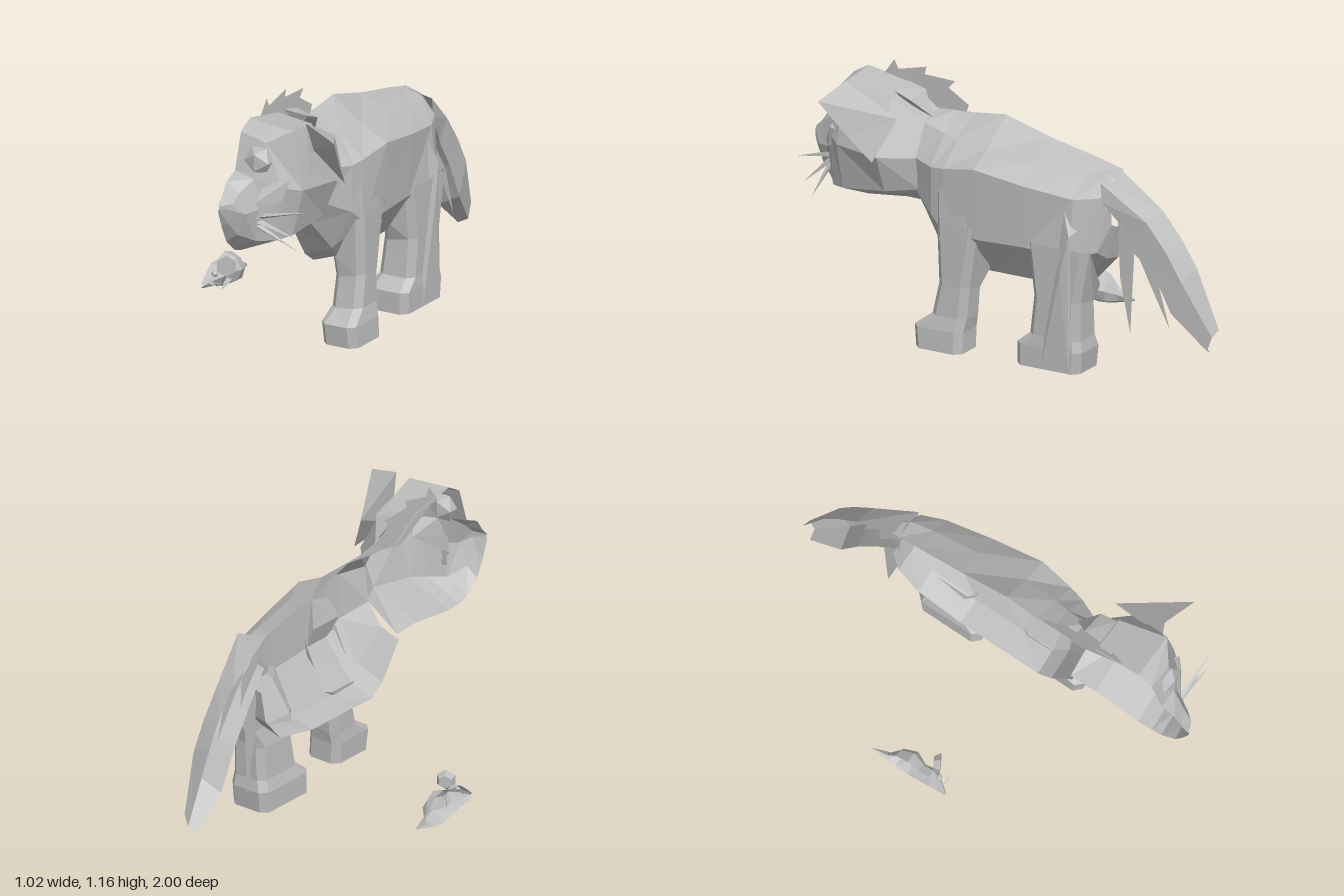
import * as THREE from 'three';
import { ConvexGeometry } from 'three/addons/geometries/ConvexGeometry.js';

const grey = new THREE.MeshStandardMaterial({ color: 0xbcbcbc, flatShading: true, side: THREE.DoubleSide });
grey.name = 'plain grey';

const V = (p) => new THREE.Vector3(...p);

// Skins a list of equal-length point rings; closed joins the ends, cap covers the first ring.
function loft(rings, closed = false, cap = false) {
  const n = rings[0].length, pos = [];
  const tri = (a, b, c) => pos.push(...a, ...b, ...c);
  for (let i = 0; i + 1 < rings.length; i++) {
    const A = rings[i], B = rings[i + 1];
    for (let j = 0; j < (closed ? n : n - 1); j++) {
      const k = (j + 1) % n;
      tri(A[j], A[k], B[j]);
      tri(A[k], B[k], B[j]);
    }
  }
  if (cap) for (let j = 1; j + 1 < n; j++) tri(rings[0][0], rings[0][j + 1], rings[0][j]);
  const g = new THREE.BufferGeometry();
  g.setAttribute('position', new THREE.Float32BufferAttribute(pos, 3));
  g.computeVertexNormals();
  return g;
}

// Half shell open at x = cut; row: z, top y, side points (x, y)..., bottom y.
const shell = (cut, rows) => loft(rows.map(([z, top, ...rest]) => {
  const ring = [[cut, top, z]];
  for (let i = 0; i + 1 < rest.length; i += 2) ring.push([rest[i], rest[i + 1], z]);
  return [...ring, [cut, rest[rest.length - 1], z]];
}));

// Chamfered leg, open at the top; row: y inside, y outside, x min, x max, z min, z max.
const leg = (rows) => loft(rows.map(([yi, yo, x0, x1, z0, z1]) => {
  const c = 0.03;
  return [[x0 + c, yi, z0], [x0, yi, z0 + c], [x0, yi, z1 - c], [x0 + c, yi, z1],
    [x1 - c, yo, z1], [x1, yo, z1 - c], [x1, yo, z0 + c], [x1 - c, yo, z0]];
}), true, true);

// Flat sheet standing in the z-y plane.
function sheet(x, pts) {
  const g = new THREE.ShapeGeometry(new THREE.Shape(pts.map((p) => new THREE.Vector2(...p))));
  return g.rotateY(-Math.PI / 2).translate(x, 0, 0);
}

// Thin spike between two points.
function spike(from, to, r) {
  const a = V(from), d = V(to).sub(a);
  const g = new THREE.ConeGeometry(r, d.length(), 3).translate(0, d.length() / 2, 0);
  g.applyQuaternion(new THREE.Quaternion().setFromUnitVectors(V([0, 1, 0]), d.normalize()));
  return g.translate(a.x, a.y, a.z);
}

const hull = (pts) => new ConvexGeometry(pts.map(V));

export function createModel() {
  const model = new THREE.Group();
  const cat = new THREE.Group(), mouse = new THREE.Group();
  cat.name = 'halfCat';
  mouse.name = 'halfMouse';
  model.add(cat, mouse);
  const add = (parent, name, geo) => {
    const m = new THREE.Mesh(geo, grey);
    m.name = name;
    parent.add(m);
  };
  const cut = 0.085;

  // Body, open along the middle plane
  add(cat, 'body', shell(cut, [
    [0.4, 0.99, 0.2, 0.96, 0.27, 0.82, 0.25, 0.66, 0.18, 0.56, 0.53],
    [0.29, 1.0, 0.21, 0.93, 0.32, 0.81, 0.32, 0.6, 0.22, 0.42, 0.37],
    [0.22, 1.0, 0.22, 0.92, 0.335, 0.82, 0.34, 0.54, 0.2, 0.36, 0.32],
    [0.06, 1.02, 0.23, 0.91, 0.354, 0.85, 0.335, 0.53, 0.2, 0.35, 0.325],
    [-0.18, 0.955, 0.22, 0.89, 0.33, 0.81, 0.315, 0.53, 0.2, 0.35, 0.325],
    [-0.4, 0.91, 0.2, 0.86, 0.295, 0.78, 0.32, 0.52, 0.19, 0.4, 0.37],
    [-0.5, 0.885, 0.18, 0.86, 0.25, 0.79, 0.26, 0.55, 0.18, 0.5, 0.48],
    [-0.53, 0.88, 0.16, 0.86, 0.2, 0.8, 0.19, 0.66, 0.15, 0.64, 0.63],
  ]));

  // Tail: top and bottom edge points in (z, y), with side width
  const tail = [
    [-0.5, 0.885, -0.51, 0.74, 0.235], [-0.72, 0.73, -0.62, 0.58, 0.188], [-0.82, 0.61, -0.71, 0.44, 0.182],
    [-0.89, 0.5, -0.8, 0.26, 0.178], [-1.0, 0.24, -0.96, 0.13, 0.13],
  ];
  add(cat, 'tail', loft(tail.map(([z0, y0, z1, y1, x]) => [
    [cut, y0, z0], [x, y0 * 0.8 + y1 * 0.2, z0 * 0.8 + z1 * 0.2],
    [x, y0 * 0.2 + y1 * 0.8, z0 * 0.2 + z1 * 0.8], [cut, y1, z1]])));

  // Hanging fur behind the thigh and under the tail
  add(cat, 'furStrand', sheet(0.12, [[-0.51, 0.82], [-0.62, 0.72], [-0.63, 0.5], [-0.6, 0.52], [-0.58, 0.16], [-0.53, 0.4]]));
  add(cat, 'furStrand', sheet(0.16, [[-0.52, 0.8], [-0.68, 0.64], [-0.8, 0.23], [-0.7, 0.42], [-0.6, 0.62]]));

  // Legs, ending where they meet the sloping belly
  add(cat, 'frontLeg', leg([
    [0.005, 0.005, 0.2, 0.37, 0.12, 0.35], [0.1, 0.1, 0.195, 0.365, 0.12, 0.36], [0.15, 0.16, 0.2, 0.35, 0.11, 0.28],
    [0.28, 0.3, 0.2, 0.345, 0.1, 0.25], [0.37, 0.58, 0.19, 0.348, 0.055, 0.26],
  ]));
  add(cat, 'shoulder', hull([
    [0.347, 0.5, 0.09], [0.347, 0.5, 0.23], [0.34, 0.74, 0.13], [0.336, 0.72, 0.24], [0.31, 0.62, 0.1], [0.31, 0.62, 0.27],
  ]));
  add(cat, 'hindLeg', leg([
    [0.005, 0.005, 0.135, 0.33, -0.44, -0.13], [0.1, 0.1, 0.135, 0.33, -0.45, -0.13], [0.15, 0.15, 0.15, 0.325, -0.44, -0.19],
    [0.3, 0.32, 0.16, 0.325, -0.44, -0.21], [0.39, 0.56, 0.18, 0.325, -0.485, -0.18],
  ]));
  // Raised thigh ridge
  add(cat, 'thighRidge', hull([
    [0.3, 0.72, -0.36], [0.33, 0.62, -0.4], [0.338, 0.45, -0.36], [0.335, 0.03, -0.27], [0.335, 0.03, -0.4],
    [0.3, 0.03, -0.27], [0.3, 0.03, -0.41], [0.29, 0.65, -0.43], [0.3, 0.5, -0.3],
  ]));

  // Head and muzzle
  add(cat, 'head', shell(cut, [
    [0.39, 0.99, 0.2, 0.97, 0.28, 0.82, 0.25, 0.67, 0.56],
    [0.52, 1.08, 0.26, 1.06, 0.39, 0.83, 0.32, 0.66, 0.565],
    [0.74, 1.12, 0.3, 1.1, 0.35, 0.84, 0.3, 0.63, 0.54],
    [0.81, 1.08, 0.21, 1.05, 0.29, 0.86, 0.26, 0.62, 0.545],
    [0.86, 0.92, 0.18, 0.9, 0.22, 0.77, 0.19, 0.62, 0.56],
    [0.93, 0.89, 0.15, 0.85, 0.18, 0.76, 0.14, 0.66, 0.62],
    [0.97, 0.83, 0.14, 0.81, 0.145, 0.78, 0.12, 0.72, 0.7],
    [1.0, 0.8, 0.09, 0.8, 0.09, 0.79, 0.09, 0.785, 0.78],
  ]));
  // Cupped ear: inner point, rim, outer point
  const rim = [[0.34, 1.13, 0.7], [0.505, 1.08, 0.74], [0.46, 0.93, 0.62], [0.425, 0.82, 0.52], [0.35, 0.9, 0.68]];
  add(cat, 'ear', loft([rim.map(() => [0.355, 1.0, 0.66]), rim, rim.map(() => [0.33, 1.0, 0.45])], true));
  add(cat, 'eye', new THREE.IcosahedronGeometry(0.07, 0).scale(1, 1, 0.7).translate(0.182, 0.97, 0.82));
  add(cat, 'cheek', hull([
    [0.22, 0.9, 0.83], [0.32, 0.9, 0.79], [0.29, 0.8, 0.82], [0.2, 0.8, 0.88], [0.25, 0.85, 0.7], [0.2, 0.72, 0.88],
  ]));
  const tips = [[0.46, 0.8, 0.87], [0.41, 0.665, 0.87], [0.39, 0.6, 0.84]];
  tips.forEach((t, i) => add(cat, 'whisker', spike([0.19, 0.73 - i * 0.018, 0.86], t, 0.015)));

  // Mane: jagged flat crest and a small side tuft
  add(cat, 'maneCrest', sheet(0.09, [
    [0.66, 1.1], [0.61, 1.17], [0.59, 1.13], [0.45, 1.165], [0.46, 1.13], [0.31, 1.125],
    [0.34, 1.09], [0.24, 1.03], [0.25, 1.0], [0.42, 0.97],
  ]));
  add(cat, 'maneTuft', hull([
    [0.12, 1.1, 0.52], [0.24, 1.09, 0.52], [0.13, 1.08, 0.43], [0.24, 1.06, 0.44], [0.18, 0.98, 0.36], [0.18, 1.02, 0.5],
  ]));

  // Mouse, also halved
  const mc = -0.515;
  add(mouse, 'mouseBody', shell(mc, [
    [-0.22, 0.06, -0.514, 0.058, -0.513, 0.055, -0.514, 0.052, 0.05],
    [-0.14, 0.1, -0.5, 0.09, -0.49, 0.07, -0.5, 0.04, 0.03],
    [-0.1, 0.15, -0.475, 0.13, -0.45, 0.09, -0.465, 0.04, 0.02],
    [-0.04, 0.17, -0.46, 0.15, -0.43, 0.1, -0.45, 0.05, 0.015],
    [0.02, 0.15, -0.475, 0.13, -0.46, 0.1, -0.475, 0.05, 0.03],
    [0.07, 0.15, -0.475, 0.14, -0.45, 0.1, -0.47, 0.06, 0.045],
    [0.11, 0.12, -0.485, 0.11, -0.475, 0.09, -0.49, 0.06, 0.05],
    [0.155, 0.08, -0.51, 0.078, -0.505, 0.07, -0.51, 0.065, 0.06],
  ]));
  add(mouse, 'mouseEar', new THREE.CylinderGeometry(0.047, 0.03, 0.03, 6)
    .rotateX(Math.PI / 2).rotateY(0.5).translate(-0.442, 0.15, 0.065));
  add(mouse, 'mouseEye', new THREE.IcosahedronGeometry(0.016, 0).translate(-0.48, 0.115, 0.1));
  add(mouse, 'mouseFoot', hull([[-0.47, 0.08, 0.03], [-0.44, 0.06, 0.06], [-0.46, 0.04, 0.08], [-0.48, 0.05, 0.02], [-0.45, 0.07, 0.01]]));
  [[-0.41, 0.09], [-0.42, 0.06]].forEach(([x, y]) => add(mouse, 'mouseWhisker', spike([-0.49, 0.08, 0.125], [x, y, 0.13], 0.005)));

  return model;
}
